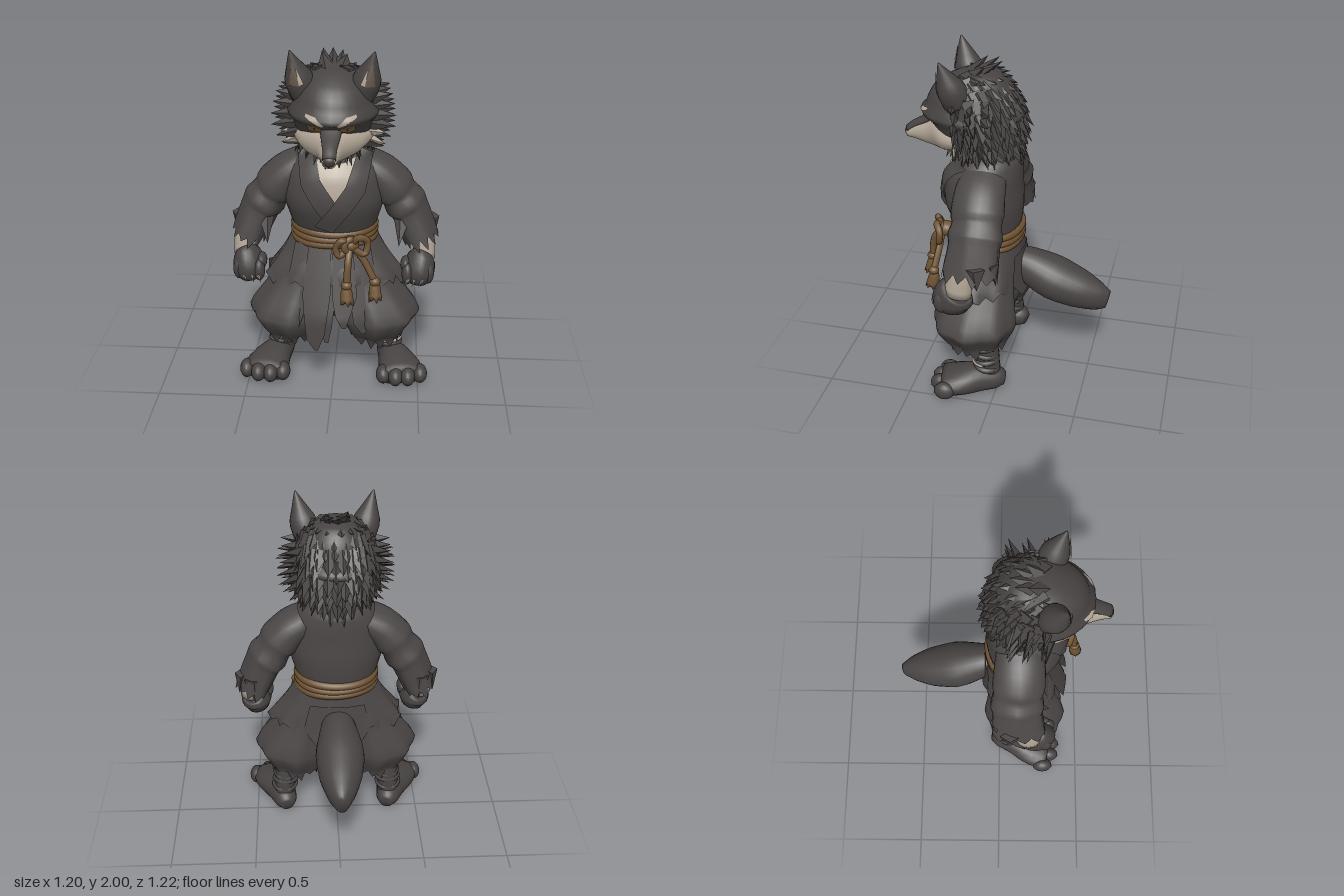
import * as THREE from 'three';
import { mergeGeometries } from 'three/addons/utils/BufferGeometryUtils.js';

const V = (x, y, z) => new THREE.Vector3(x, y, z);
const DOWN = V(0, -1, 0), UP = V(0, 1, 0);

export function createModel() {
  const model = new THREE.Group();
  model.name = 'canineWarrior';
  const mat = (name, color) => {
    const m = new THREE.MeshStandardMaterial({ color, side: THREE.DoubleSide });
    m.name = name;
    return m;
  };
  const fur = mat('charcoalFur', 0x474342), cloth = mat('charcoalCloth', 0x4b4746);
  const cream = mat('creamFur', 0xb3a797), rope = mat('ropeBrown', 0x6f5333);
  const amber = mat('amberEye', 0x835f35), dark = mat('darkNose', 0x3d3938), inner = mat('innerEar', 0x65574c);

  let seed = 7;
  const rnd = () => (seed = (seed * 16807) % 2147483647) / 2147483647;

  const add = (name, geo, material) => {
    const mesh = new THREE.Mesh(geo, material);
    mesh.name = name;
    model.add(mesh);
    return mesh;
  };

  // Skin over elliptic sections [x, y, z, radiusU, radiusV]; optional folds, torn end and fixed direction
  function loft(secs, { n = 20, fold = 0, k = 9, jag = 0, dir = null, cap = true, floor = false } = {}) {
    const centre = new THREE.CatmullRomCurve3(secs.map(s => V(s[0], s[1], s[2])));
    const radius = new THREE.CatmullRomCurve3(secs.map(s => V(s[3], s[4], 0)));
    const rows = (secs.length - 1) * 3, pos = [], idx = [];
    for (let i = 0; i <= rows; i++) {
      const f = i / rows, c = centre.getPoint(f), r = radius.getPoint(f);
      const t = dir || centre.getTangent(f);
      const u = V(1, 0, 0).addScaledVector(t, -t.x).normalize(), v = t.clone().cross(u);
      for (let j = 0; j < n; j++) {
        const a = j / n * Math.PI * 2, w = 1 + fold * f * Math.cos(k * a);
        const p = c.clone().addScaledVector(u, r.x * w * Math.cos(a)).addScaledVector(v, r.y * w * Math.sin(a));
        if (jag && i === rows) p.addScaledVector(t, jag * (j % 2 ? 0.3 + rnd() : -0.5 * rnd()));
        if (floor) p.y = Math.max(p.y, 0);
        pos.push(p.x, p.y, p.z);
      }
    }
    for (let i = 0; i < rows; i++) for (let j = 0; j < n; j++) {
      const a = i * n + j, b = i * n + (j + 1) % n;
      idx.push(a, b, a + n, b, b + n, a + n);
    }
    if (cap) for (const end of [0, rows]) {
      const c = centre.getPoint(end / rows), m = pos.length / 3;
      pos.push(c.x, floor ? Math.max(c.y, 0) : c.y, c.z);
      for (let j = 0; j < n; j++) {
        const a = end * n + j, b = end * n + (j + 1) % n;
        end ? idx.push(m, a, b) : idx.push(m, b, a);
      }
    }
    const g = new THREE.BufferGeometry();
    g.setAttribute('position', new THREE.Float32BufferAttribute(pos, 3));
    g.setIndex(idx);
    g.computeVertexNormals();
    return g;
  }

  // Thin sheet between two edges of [x, y] points, with depth given by zf
  function sheet(ea, eb, zf, across = 4, along = 5) {
    const g = new THREE.PlaneGeometry(1, 1, across, (ea.length - 1) * along), p = g.attributes.position;
    for (let i = 0; i < p.count; i++) {
      const f = (0.5 - p.getY(i)) * (ea.length - 1), s = Math.min(Math.floor(f + 1e-6), ea.length - 2);
      const h = f - s, w = p.getX(i) + 0.5;
      const at = d => THREE.MathUtils.lerp(THREE.MathUtils.lerp(ea[s][d], ea[s + 1][d], h), THREE.MathUtils.lerp(eb[s][d], eb[s + 1][d], h), w);
      const x = at(0), y = at(1);
      p.setXYZ(i, x, y, zf(x, y));
    }
    g.computeVertexNormals();
    return g;
  }

  // Depth of the front of a mesh, plus a small offset
  const ray = new THREE.Raycaster();
  const onFront = (meshes, off) => (x, y) => {
    ray.set(V(x, y, 3), V(0, 0, -1));
    const hit = ray.intersectObjects(meshes)[0];
    return (hit ? hit.point.z : 0.2) + off;
  };

  // Flat pointed tuft
  function spike(p, dir, len, r) {
    const d = dir.clone().normalize();
    const g = new THREE.ConeGeometry(r, len, 4).toNonIndexed();
    g.scale(1, 1, 0.6);
    g.applyQuaternion(new THREE.Quaternion().setFromUnitVectors(UP, d));
    g.translate(p.x + d.x * len * 0.3, p.y + d.y * len * 0.3, p.z + d.z * len * 0.3);
    g.computeVertexNormals();
    return g;
  }
  const ball = (x, y, z, a, b, c) => new THREE.SphereGeometry(1, 16, 12).scale(a, b, c).translate(x, y, z);
  const tube = (pts, r, closed = false) => new THREE.TubeGeometry(new THREE.CatmullRomCurve3(pts.map(p => V(...p)), closed), closed ? 64 : 20, r, 8, closed);

  // Jacket body and skirt, with a longer tail of cloth at the back
  const torso = add('jacketBody', loft([[0, 1.47, 0.1, 0.1, 0.1], [0, 1.41, 0.11, 0.2, 0.175], [0, 1.3, 0.14, 0.27, 0.215], [0, 1.15, 0.148, 0.285, 0.228], [0, 1.02, 0.13, 0.255, 0.205], [0, 0.9, 0.11, 0.22, 0.165]], { n: 32, dir: DOWN }), cloth);
  add('jacketSkirt', loft([[0, 0.91, 0.105, 0.235, 0.17], [0, 0.8, 0.115, 0.295, 0.195], [0, 0.72, 0.125, 0.35, 0.215], [0, 0.65, 0.13, 0.4, 0.225]], { n: 36, fold: 0.05, k: 9, jag: 0.05, dir: DOWN, cap: false }), cloth);
  add('skirtTail', sheet([[-0.16, 0.82], [-0.2, 0.65], [-0.12, 0.54]], [[0.16, 0.82], [0.2, 0.65], [0.12, 0.54]], (x, y) => -0.09 - (0.82 - y) * 0.1 + x * x), cloth);
  add('chestFur', sheet([[-0.1, 1.4], [-0.08, 1.3], [-0.02, 1.16]], [[0.15, 1.4], [0.12, 1.3], [0.03, 1.16]], onFront([torso], 0.006)), cream);
  add('rightLapel', sheet([[-0.2, 1.42], [-0.17, 1.25], [-0.02, 1.02]], [[-0.1, 1.45], [-0.065, 1.3], [0.06, 1.12]], onFront([torso], 0.014)), cloth);
  add('leftLapel', sheet([[0.14, 1.45], [0.075, 1.27], [-0.1, 1.02]], [[0.22, 1.42], [0.18, 1.23], [0.0, 0.98]], onFront([torso], 0.024)), cloth);

  // Trouser seat joining the legs
  add('trouserSeat', loft([[0, 0.85, 0.11, 0.18, 0.16], [0, 0.65, 0.135, 0.19, 0.2], [0, 0.52, 0.15, 0.15, 0.2], [0, 0.43, 0.15, 0.09, 0.14]], { dir: DOWN }), cloth);

  // Torn front panels hanging from the belt: [centre, half width, end]
  [[-0.2, 0.07, 0.4], [-0.09, 0.08, 0.27], [-0.03, 0.05, 0.32], [0.07, 0.07, 0.42], [0.18, 0.08, 0.37]].forEach(([x, w, end], i) =>
    add('tornPanel', sheet([[x * 0.8 - w * 0.8, 0.88], [x - w, 0.6], [x - w * 0.7, end + 0.07], [x - 0.01, end]], [[x * 0.8 + w * 0.8, 0.88], [x + w, 0.6], [x + w * 0.6, end + 0.1], [x + 0.01, end]],
      (px, y) => 0.282 + (i % 2) * 0.012 + Math.min(0.88 - y, 0.42) * 0.3 - px * px * 0.8), cloth));

  for (const s of [-1, 1]) {
    const side = s > 0 ? 'left' : 'right';
    const m = secs => secs.map(([x, ...rest]) => [x * s, ...rest]);

    // Sleeve with slack folds and loose tatters
    add(side + 'Sleeve', loft(m([[0.17, 1.32, 0.11, 0.09, 0.13], [0.26, 1.26, 0.11, 0.108, 0.145], [0.33, 1.18, 0.105, 0.12, 0.15], [0.36, 1.14, 0.1, 0.106, 0.14], [0.4, 1.08, 0.1, 0.12, 0.155], [0.425, 1.04, 0.1, 0.108, 0.145], [0.49, 0.885, 0.11, 0.1, 0.16]]), { n: 24, fold: 0.05, k: 6, jag: 0.045, cap: false }), cloth);
    add(side + 'SleeveTatters', mergeGeometries([
      spike(V(s * 0.38, 1.0, 0.22), V(-s * 0.1, -1, 0.6), 0.17, 0.05),
      spike(V(s * 0.565, 0.95, 0.06), V(s * 0.1, -1, -0.1), 0.13, 0.06),
      spike(V(s * 0.48, 0.95, -0.02), V(0, -1, -0.1), 0.15, 0.06)]), cloth);

    // Forearm and fist
    add(side + 'Forearm', loft(m([[0.47, 1.05, 0.12, 0.06, 0.06], [0.51, 0.9, 0.155, 0.06, 0.075], [0.515, 0.77, 0.175, 0.064, 0.078]])), cream);
    add(side + 'Fist', loft(m([[0.51, 0.795, 0.18, 0.06, 0.075], [0.5, 0.775, 0.195, 0.08, 0.105], [0.485, 0.71, 0.215, 0.092, 0.118], [0.475, 0.65, 0.215, 0.068, 0.088]])), fur);
    for (let i = 0; i < 4; i++) {
      const x = s * (0.42 + i * 0.04);
      add(side + 'Finger', ball(x, 0.715, 0.285 - i * 0.006, 0.032, 0.065, 0.043), fur);
      if (i < 3) add(side + 'Claw', spike(V(x, 0.69, 0.322), V(-s * 0.4, -1, 0.35), 0.05, 0.018), cream);
    }
    add(side + 'Thumb', ball(s * 0.41, 0.755, 0.24, 0.03, 0.045, 0.06), fur);

    // Baggy trouser leg, bound ankle and paw
    add(side + 'TrouserLeg', loft(m([[0.1, 0.9, 0.11, 0.12, 0.15], [0.14, 0.75, 0.12, 0.145, 0.175], [0.195, 0.6, 0.135, 0.185, 0.2], [0.25, 0.43, 0.155, 0.24, 0.24], [0.25, 0.37, 0.155, 0.21, 0.225], [0.245, 0.31, 0.15, 0.175, 0.19], [0.25, 0.27, 0.14, 0.15, 0.16]]), { n: 32, fold: 0.08, k: 8, jag: 0.04, dir: DOWN, cap: false }), cloth);
    add(side + 'Ankle', loft(m([[0.28, 0.5, 0.11, 0.09, 0.09], [0.31, 0.3, 0.08, 0.075, 0.08], [0.325, 0.15, 0.06, 0.065, 0.075], [0.33, 0.06, 0.06, 0.07, 0.08]])), fur);
    for (let i = 0; i < 4; i++) {
      const band = new THREE.TorusGeometry(0.064, 0.018, 8, 20).rotateX(Math.PI / 2 + (i % 2 ? 0.12 : -0.12));
      add(side + 'AnkleWrap', band.translate(s * (0.325 - i * 0.005), 0.15 + i * 0.045, 0.065 + i * 0.004), cloth);
    }
    add(side + 'Foot', loft(m([[0.31, 0.05, -0.04, 0.04, 0.04], [0.32, 0.06, 0, 0.068, 0.07], [0.35, 0.068, 0.1, 0.09, 0.09], [0.39, 0.063, 0.22, 0.127, 0.08], [0.405, 0.055, 0.315, 0.137, 0.062]]), { floor: true }), fur);
    for (let i = 0; i < 4; i++) {
      const x = s * (0.297 + i * 0.072), z = [0.3, 0.325, 0.32, 0.28][i];
      add(side + 'Toe', ball(x, 0.055, z, 0.043, 0.055, 0.062), fur);
      add(side + 'ToeClaw', spike(V(x, 0.035, z + 0.045), V(s * 0.1, -0.4, 1), 0.03, 0.015), dark);
    }

    // Ear
    const ear = add(side + 'Ear', loft(m([[0.15, 1.75, 0.25, 0.075, 0.08], [0.176, 1.83, 0.275, 0.078, 0.08], [0.2, 1.92, 0.305, 0.042, 0.045], [0.22, 2.0, 0.33, 0.004, 0.004]])), fur);
    add(side + 'InnerEar', sheet([[s * 0.165, 1.82], [s * 0.205, 1.94]], [[s * 0.222, 1.82], [s * 0.212, 1.94]], onFront([ear], 0.006)), inner);
    add(side + 'EarTuft', sheet([[s * 0.145, 1.83], [s * 0.182, 1.91]], [[s * 0.17, 1.82], [s * 0.188, 1.91]], onFront([ear], 0.009)), cream);
  }
  // One pale band showing through the wraps
  add('paleWrap', new THREE.TorusGeometry(0.073, 0.012, 8, 20, Math.PI).rotateX(Math.PI / 2).translate(0.32, 0.185, 0.07), cream);

  // Head and muzzle
  const head = add('head', loft([[0, 1.9, 0.14, 0.04, 0.04], [0, 1.875, 0.17, 0.12, 0.13], [0, 1.8, 0.2, 0.19, 0.22], [0, 1.7, 0.21, 0.225, 0.26], [0, 1.62, 0.195, 0.225, 0.26], [0, 1.54, 0.16, 0.21, 0.23], [0, 1.46, 0.13, 0.17, 0.18], [0, 1.38, 0.1, 0.13, 0.14]], { n: 28, dir: DOWN }), fur);
  const muzzle = add('muzzle', loft([[0, 1.53, 0.25, 0.22, 0.085], [0, 1.522, 0.36, 0.17, 0.1], [0, 1.507, 0.45, 0.08, 0.085], [0, 1.497, 0.54, 0.048, 0.053], [0, 1.485, 0.595, 0.036, 0.03]]), cream);
  add('muzzleBridge', loft([[0, 1.615, 0.42, 0.06, 0.022], [0, 1.578, 0.475, 0.05, 0.022], [0, 1.54, 0.545, 0.038, 0.022], [0, 1.505, 0.59, 0.036, 0.022]]), fur);
  add('nose', ball(0, 1.493, 0.582, 0.038, 0.032, 0.028), dark);
  for (const s of [-1, 1]) {
    const face = onFront([head, muzzle], 0.006), pupil = onFront([head, muzzle], 0.01);
    add('brow', sheet([[s * 0.035, 1.65], [s * 0.08, 1.69], [s * 0.13, 1.697]], [[s * 0.042, 1.632], [s * 0.09, 1.66], [s * 0.135, 1.686]], face), cream);
    add('eye', sheet([[s * 0.045, 1.618], [s * 0.085, 1.642], [s * 0.128, 1.642]], [[s * 0.055, 1.604], [s * 0.085, 1.594], [s * 0.124, 1.602]], face), amber);
    add('pupil', sheet([[s * 0.08, 1.628], [s * 0.08, 1.604]], [[s * 0.092, 1.628], [s * 0.092, 1.604]], pupil), dark);
    // Pale cheek tufts under the dark ones
    add('cheekTufts', mergeGeometries([0, 1].map(i => spike(V(s * 0.195, 1.555 - i * 0.045, 0.26), V(s, -0.2 - i * 0.2, -0.15), 0.12, 0.038))), cream);
  }

  // Shaggy mane lying over the crown, sides and back
  const tufts = [];
  for (let row = 0; row < 11; row++) {
    const el = (-52 + row * 13) * Math.PI / 180, count = Math.max(5, Math.round(19 * Math.cos(el)));
    for (let i = 0; i < count; i++) {
      const az = ((i + (row % 2) * 0.5) / (count - 0.5) - 0.5) * 4 + (rnd() - 0.5) * 0.15;
      const n = V(Math.sin(az) * Math.cos(el), Math.sin(el), -Math.cos(az) * Math.cos(el));
      const p = V(n.x * 0.222, 1.65 + n.y * 0.235, 0.155 + n.z * 0.21 + n.y * 0.035);
      const d = n.multiplyScalar(0.36).add(V(0, -0.75 * Math.cos(el), -0.22));
      tufts.push(spike(p, d, 0.11 + rnd() * 0.05, 0.05 + rnd() * 0.015));
    }
  }
  // Broad side whiskers flaring out from the cheeks
  for (const s of [-1, 1]) for (let i = 0; i < 6; i++) for (let j = 0; j < 3; j++) {
    const y = 1.74 - i * 0.047, out = 0.11 + 0.07 * Math.sin((i + 1) / 7 * Math.PI);
    tufts.push(spike(V(s * (0.2 - Math.max(0, i - 3) * 0.012), y, 0.24 - j * 0.08 + rnd() * 0.03), V(s, 0.15 - i * 0.12, -0.2 - j * 0.15), out, 0.055));
  }
  // Ruff under the chin and around the neck
  for (let row = 0; row < 3; row++) for (let i = 0; i < 16; i++) {
    const a = (i + row * 0.5) / 16 * Math.PI * 2, r = 0.17 - row * 0.015;
    tufts.push(spike(V(Math.sin(a) * r, 1.48 - row * 0.04, 0.13 + Math.cos(a) * (r + 0.025)), V(Math.sin(a) * 0.45, -1, Math.cos(a) * 0.45), 0.1 + rnd() * 0.03, 0.042));
  }
  for (let i = 0; i < 7; i++) {
    const x = (i - 3) * 0.032;
    tufts.push(spike(V(x, 1.425 + Math.abs(x) * 0.2, 0.285 - Math.abs(x) * 0.4), V(x, -1, 0.3), 0.1 + rnd() * 0.02, 0.035));
  }
  add('mane', mergeGeometries(tufts), fur);

  // Tail
  add('tail', loft([[0, 0.72, -0.02, 0.08, 0.08], [-0.005, 0.68, -0.12, 0.11, 0.11], [-0.008, 0.61, -0.27, 0.142, 0.132], [-0.006, 0.555, -0.42, 0.122, 0.118], [-0.005, 0.515, -0.54, 0.075, 0.09], [-0.008, 0.5, -0.6, 0.036, 0.06]], { n: 24 }), fur);

  // Rope belt with knot, loops and tassels
  for (let i = 0; i < 3; i++) {
    const pts = [];
    for (let j = 0; j < 16; j++) {
      const a = j / 16 * Math.PI * 2;
      pts.push([Math.cos(a) * 0.228, 0.888 + i * 0.033 + Math.sin(a * 2 + i) * 0.005, 0.115 + Math.sin(a) * 0.182]);
    }
    add('beltRope', tube(pts, 0.024, true), rope);
  }
  add('knot', ball(0.1, 0.93, 0.36, 0.05, 0.045, 0.06), rope);
  add('knotWrap', new THREE.TorusGeometry(0.035, 0.02, 8, 16).rotateY(0.5).translate(0.1, 0.935, 0.395), rope);
  add('leftLoop', tube([[0.11, 0.94, 0.38], [0.15, 0.985, 0.4], [0.195, 0.95, 0.37], [0.18, 0.88, 0.38], [0.11, 0.92, 0.39]], 0.02), rope);
  add('rightLoop', tube([[0.09, 0.94, 0.38], [0.06, 0.975, 0.42], [0.025, 0.93, 0.41], [0.04, 0.875, 0.41], [0.1, 0.92, 0.39]], 0.019), rope);
  for (const [x, z] of [[0.085, 0.455], [0.24, 0.4]]) {
    add('ropeEnd', tube([[0.1, 0.93, 0.38], [0.1 + (x - 0.1) * 0.5, 0.85, z - 0.02], [x, 0.72, z]], 0.02), rope);
    add('tasselKnot', ball(x, 0.72, z, 0.031, 0.027, 0.031), rope);
    add('tassel', loft([[x, 0.72, z, 0.02, 0.02], [x, 0.68, z, 0.032, 0.032], [x + 0.004, 0.62, z + 0.012, 0.038, 0.038]], { n: 14, jag: 0.02 }), rope);
  }
  return model;
}
